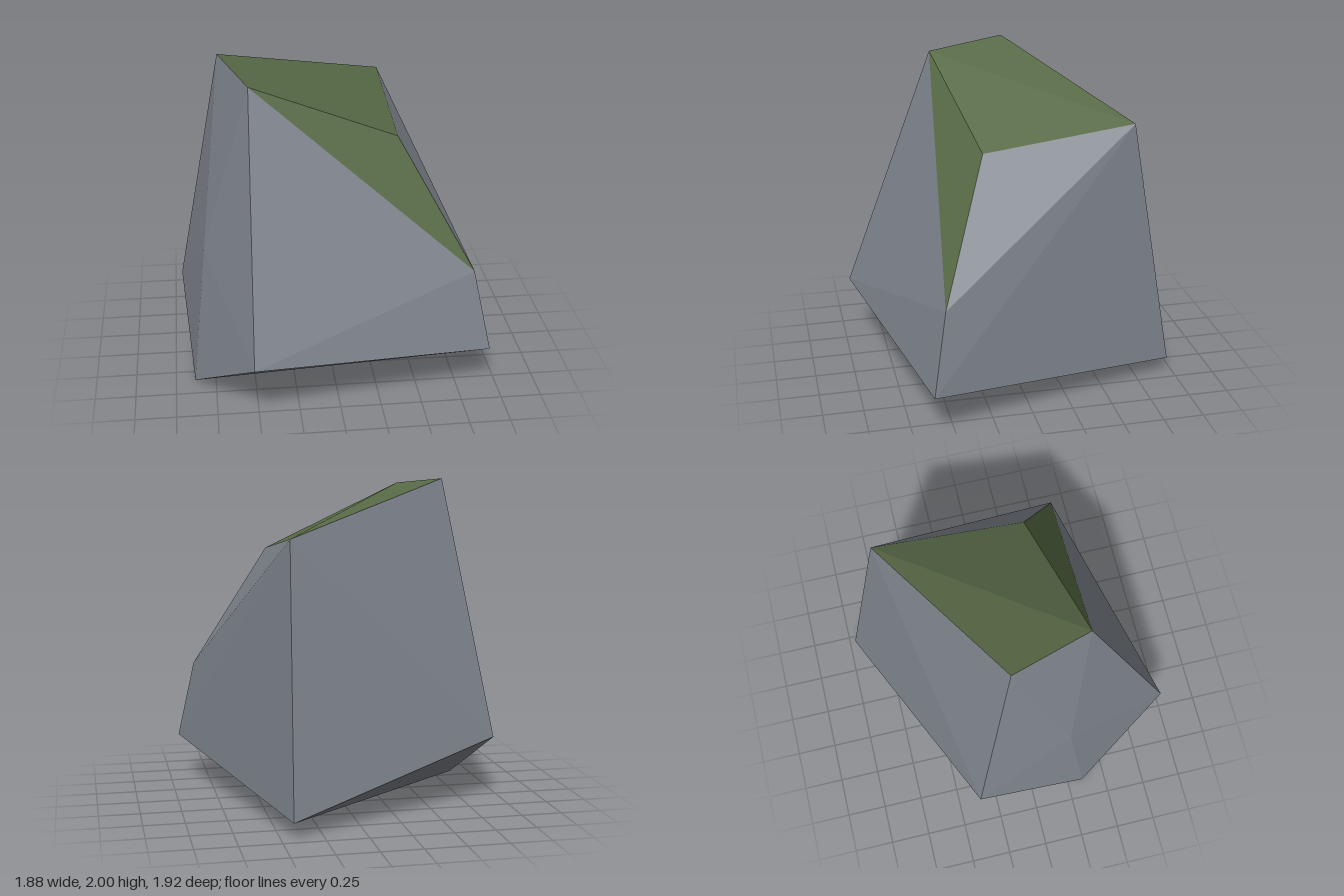
import * as THREE from 'three';

// Corners of the boulder
const P = {
  peakBack: [-0.66, 2.0, -0.11],
  peakFront: [-0.5, 1.96, 0.39],
  capBack: [0.4, 1.68, -0.7],
  capFront: [0.4, 1.56, 0.23],
  shoulder: [0.84, 0.78, 0.54],
  sideLow: [0.94, 0.28, 0.63],
  backLow: [0.43, 0.1, -0.96],
  foot: [-0.88, 0.0, 0.35],
  cornerLow: [-0.94, 0.4, -0.37],
  frontLow: [-0.53, 0.42, 0.96],
  bulge: [-0.79, 0.87, 0.25],
};

// Builds flat facets, turning each one to face away from the boulder's middle
function facets(name, list, material) {
  const centre = new THREE.Vector3(0, 0.95, 0);
  const points = [];
  for (const corners of list) {
    let [a, b, c] = corners.map((key) => new THREE.Vector3(...P[key]));
    const normal = new THREE.Triangle(a, b, c).getNormal(new THREE.Vector3());
    if (normal.dot(a.clone().sub(centre)) < 0) [b, c] = [c, b];
    points.push(a, b, c);
  }
  const geometry = new THREE.BufferGeometry().setFromPoints(points);
  geometry.computeVertexNormals();
  const mesh = new THREE.Mesh(geometry, material);
  mesh.name = name;
  return mesh;
}

export function createModel() {
  const stone = new THREE.MeshStandardMaterial({ color: 0x80858e });
  stone.name = 'grey stone';
  const moss = new THREE.MeshStandardMaterial({ color: 0x586b47 });
  moss.name = 'green moss';

  const group = new THREE.Group();
  group.name = 'mossyBoulder';
  group.add(
    // Mossy top with a tongue running down to the shoulder
    facets('mossCap', [
      ['peakBack', 'peakFront', 'capBack'],
      ['peakFront', 'capFront', 'capBack'],
      ['peakFront', 'shoulder', 'capFront'],
    ], moss),
    facets('frontStone', [
      ['peakFront', 'frontLow', 'shoulder'],
      ['frontLow', 'sideLow', 'shoulder'],
    ], stone),
    facets('leftStone', [
      ['capFront', 'shoulder', 'capBack'],
      ['shoulder', 'sideLow', 'capBack'],
      ['sideLow', 'backLow', 'capBack'],
    ], stone),
    facets('backStone', [
      ['capBack', 'cornerLow', 'peakBack'],
      ['capBack', 'backLow', 'cornerLow'],
    ], stone),
    // Fan of facets around the slight bulge
    facets('rightStone', [
      ['bulge', 'peakBack', 'peakFront'],
      ['bulge', 'peakFront', 'frontLow'],
      ['bulge', 'frontLow', 'foot'],
      ['bulge', 'foot', 'cornerLow'],
      ['bulge', 'cornerLow', 'peakBack'],
    ], stone),
    facets('underside', [
      ['foot', 'frontLow', 'sideLow'],
      ['foot', 'sideLow', 'backLow'],
      ['foot', 'backLow', 'cornerLow'],
    ], stone),
  );
  return group;
}
